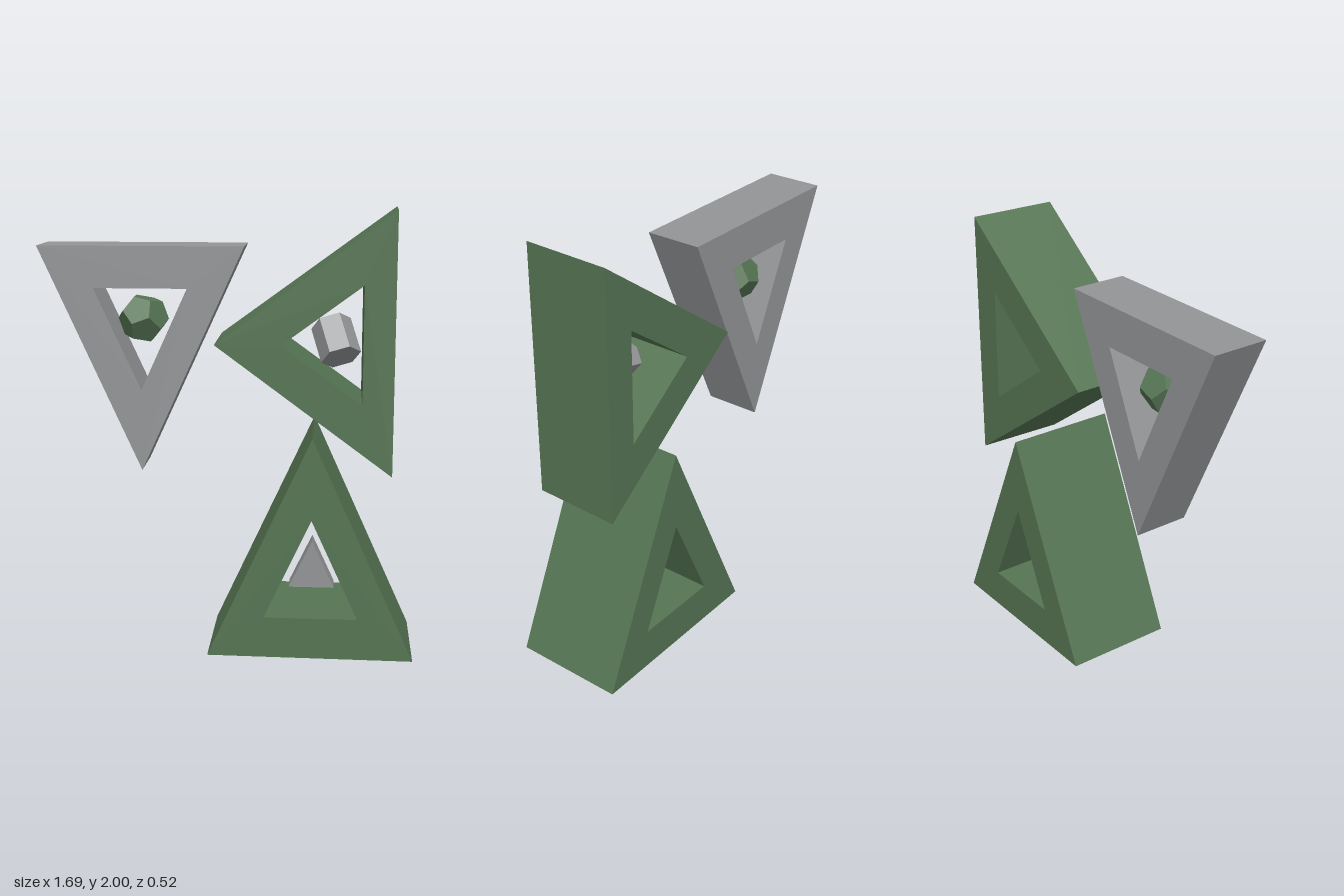
import * as THREE from 'three';

const green = new THREE.MeshStandardMaterial({ color: 0x557453 });
green.name = 'mossGreen';
const gray = new THREE.MeshStandardMaterial({ color: 0x929496 });
gray.name = 'stoneGray';

const toPoints = (list) => list.map(([x, y]) => new THREE.Vector2(x, y));

// Triangular prism, optionally with a triangular opening, from z0 to z1
function prism(name, material, outer, hole, z0, z1) {
  const shape = new THREE.Shape(toPoints(outer));
  if (hole) shape.holes.push(new THREE.Path(toPoints(hole)));
  const geometry = new THREE.ExtrudeGeometry(shape, { depth: z1 - z0, bevelEnabled: false });
  geometry.translate(0, 0, z0);
  const mesh = new THREE.Mesh(geometry, material);
  mesh.name = name;
  return mesh;
}

export function createModel() {
  const model = new THREE.Group();
  model.name = 'triangleSculpture';

  // Three hollow triangular frames
  const lower = prism('lowerFrame', green,
    [[-0.08, 0.004], [0.845, 0], [0.385, 1.015]],
    [[0.175, 0.19], [0.595, 0.19], [0.385, 0.645]], -0.263, 0.258);
  const upper = prism('upperFrame', green,
    [[-0.052, 1.415], [0.737, 0.835], [0.737, 2]],
    [[0.24, 1.415], [0.6, 1.155], [0.6, 1.68]], -0.21, 0.2);
  const side = prism('sideFrame', gray,
    [[-0.845, 1.838], [-0.385, 0.83], [0.075, 1.838]],
    [[-0.595, 1.652], [-0.385, 1.197], [-0.178, 1.652]], -0.137, 0.125);

  // The upper frame's outer side slants slightly toward the back
  const pos = upper.geometry.attributes.position;
  for (let i = 0; i < pos.count; i++) {
    if (pos.getX(i) > 0.7 && pos.getZ(i) < 0) pos.setX(i, 0.747);
  }
  upper.geometry.computeVertexNormals();

  // Small triangular core floating in the lower frame
  const core = prism('triangleCore', gray,
    [[0.28, 0.27], [0.487, 0.27], [0.385, 0.49]], null, -0.055, 0.055);

  // Twelve-sided gem floating in the side frame
  const gem = new THREE.Mesh(new THREE.DodecahedronGeometry(0.115), green);
  gem.name = 'dodecahedronCore';
  gem.position.set(-0.388, 1.506, 0);
  gem.rotation.z = THREE.MathUtils.degToRad(-70);

  // Tilted hexagonal core floating in the upper frame
  const hexGeometry = new THREE.CylinderGeometry(0.092, 0.092, 0.176, 6).rotateY(Math.PI / 2).toNonIndexed();
  hexGeometry.computeVertexNormals();
  const hex = new THREE.Mesh(hexGeometry, gray);
  hex.name = 'hexagonCore';
  hex.position.set(0.48, 1.415, 0);
  hex.quaternion.setFromUnitVectors(
    new THREE.Vector3(0, 1, 0), new THREE.Vector3(-0.048, 0.138, -0.099).normalize());

  model.add(lower, upper, side, core, gem, hex);
  return model;
}
